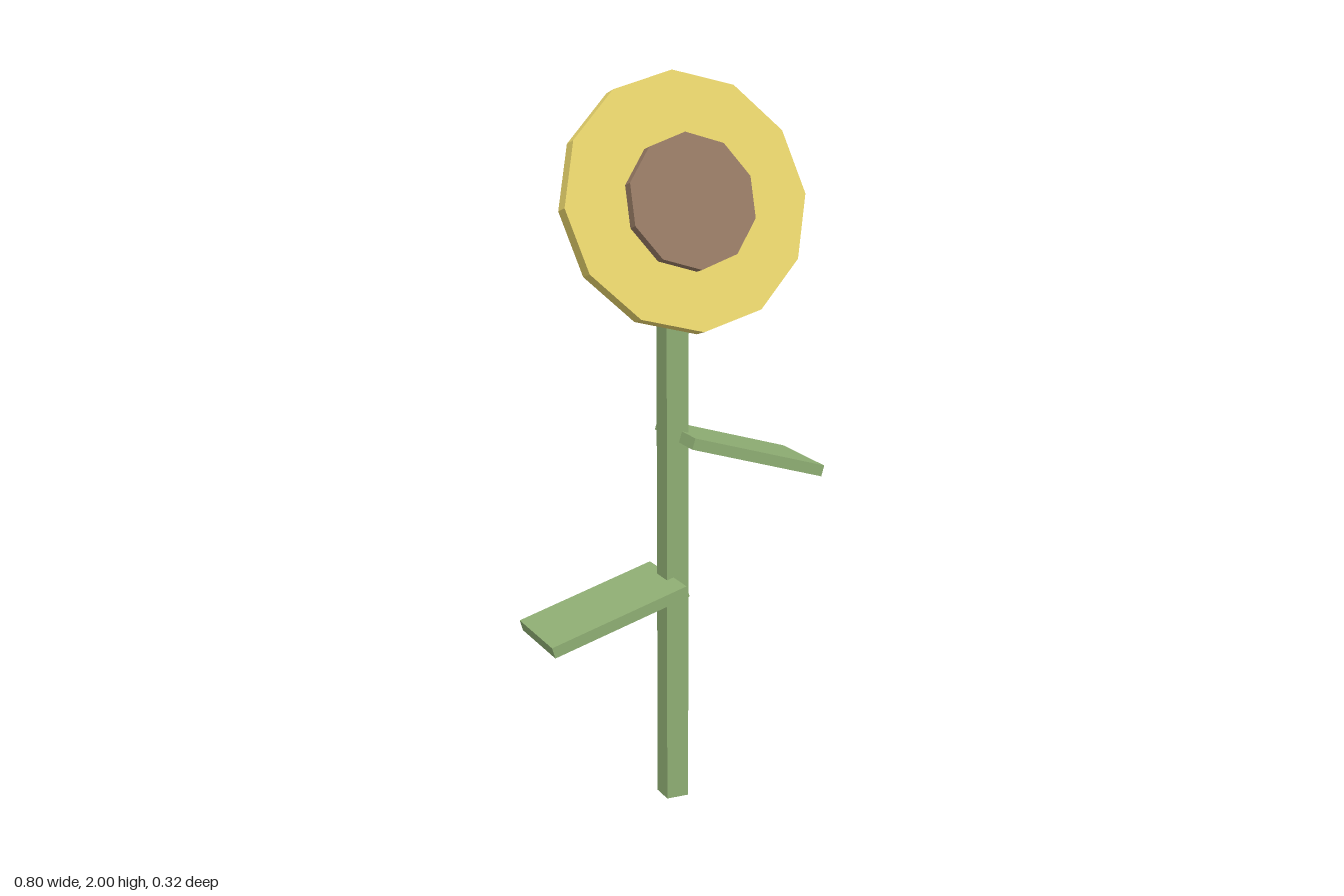
import * as THREE from 'three';

const material = (color) => new THREE.MeshStandardMaterial({ color, flatShading: true });

export function createModel() {
  const model = new THREE.Group();
  const green = material(0x8fae74);
  const yellow = material(0xe8d46c);
  const brown = material(0x967a64);

  const add = (name, geometry, mat, x, y, z) => {
    const mesh = new THREE.Mesh(geometry, mat);
    mesh.name = name;
    mesh.position.set(x, y, z);
    model.add(mesh);
    return mesh;
  };

  // Square stem
  add('stem', new THREE.BoxGeometry(0.064, 1.625, 0.066), green, 0, 0.8125, -0.037);

  // Drooping leaves, one on each side at different heights
  const leafGeometry = new THREE.BoxGeometry(0.405, 0.031, 0.243);
  for (const [name, side, y] of [['leftLeaf', 1, 0.978], ['rightLeaf', -1, 0.572]]) {
    const leaf = add(name, leafGeometry, green, side * 0.202, y, -0.041);
    leaf.rotation.z = -side * 0.293;
  }

  // Faceted discs of the flower head, tipped back to face slightly upward
  const disc = (name, radius, thickness, sides, mat, y, z) => {
    const geometry = new THREE.CylinderGeometry(radius, radius, thickness, sides);
    geometry.rotateX(Math.PI / 2);
    add(name, geometry, mat, 0, y, z).rotation.x = -0.297;
  };
  disc('petals', 0.34, 0.046, 12, yellow, 1.67, 0.038);
  disc('seedHead', 0.178, 0.033, 10, brown, 1.676, 0.078);

  return model;
}
